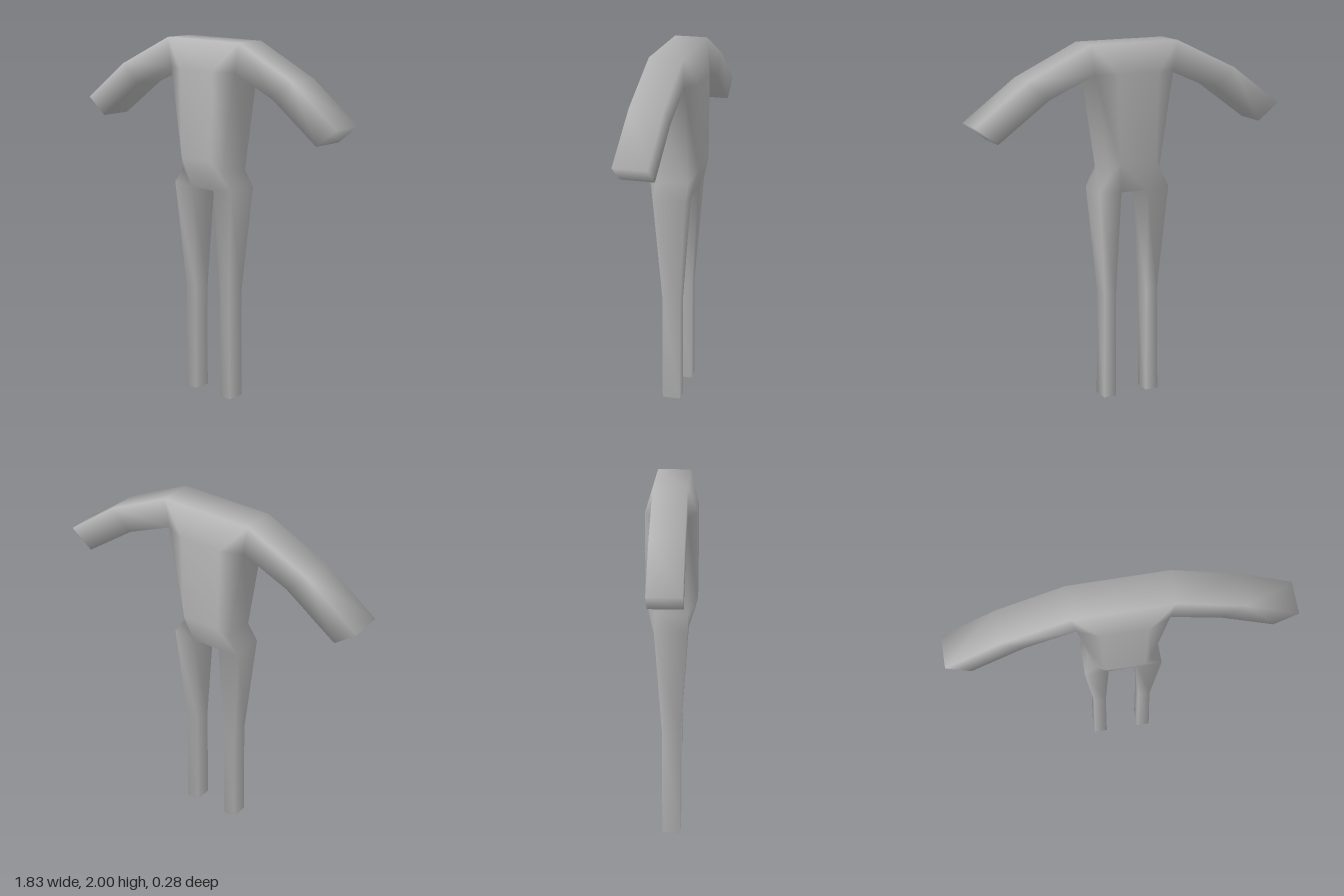
import * as THREE from 'three';

// Landmarks of one quarter of the body (x and z get mirrored)
const POINTS = {
  shoulder: [0.26, 2.0, 0.09],
  armpit: [0.235, 1.84, 0.09],
  chest: [0.12, 1.84, 0.14],
  belly: [0.11, 1.36, 0.14],
  waist: [0.15, 1.29, 0.09],
  hip: [0.21, 1.2, 0.09],
  groin: [0.08, 1.19, 0.09],
  elbowTop: [0.62, 1.83, 0.09],
  elbowLow: [0.5, 1.725, 0.09],
  handTop: [0.915, 1.612, 0.09],
  handLow: [0.79, 1.515, 0.09],
  kneeOut: [0.163, 0.6, 0.05],
  kneeIn: [0.095, 0.6, 0.05],
  footOut: [0.17, 0, 0.05],
  footIn: [0.095, 0, 0.05],
};
const NAMES = Object.keys(POINTS);

// Panels facing the front on the left half, counter-clockwise
const PANELS = {
  torso: [
    ['shoulder', 'chest', 'armpit'],
    ['chest', 'belly', 'waist', 'armpit'],
    ['belly', 'groin', 'hip', 'waist'],
  ],
  arm: [
    ['shoulder', 'armpit', 'elbowLow', 'elbowTop'],
    ['elbowTop', 'elbowLow', 'handLow', 'handTop'],
  ],
  leg: [
    ['groin', 'kneeIn', 'kneeOut', 'hip'],
    ['kneeIn', 'footIn', 'footOut', 'kneeOut'],
  ],
};

// Outline strips joining front to back, running clockwise
const OUTLINES = {
  torso: [['armpit', 'waist', 'hip']],
  arm: [['shoulder', 'elbowTop', 'handTop', 'handLow', 'elbowLow', 'armpit']],
  leg: [['hip', 'kneeOut', 'footOut', 'footIn', 'kneeIn', 'groin']],
};

const id = (name, sx, sz) => NAMES.indexOf(name) * 4 + (sx < 0 ? 1 : 0) + (sz < 0 ? 2 : 0);

function addFace(list, corners, flip) {
  const c = flip ? [...corners].reverse() : corners;
  for (let i = 1; i < c.length - 1; i++) list.push(c[0], c[i], c[i + 1]);
}

function addPart(list, part, sx) {
  for (const sz of [1, -1])
    for (const panel of PANELS[part])
      addFace(list, panel.map((n) => id(n, sx, sz)), sx * sz < 0);
  for (const line of OUTLINES[part])
    for (let i = 0; i < line.length - 1; i++) {
      const [a, b] = [line[i], line[i + 1]];
      addFace(list, [id(a, sx, 1), id(b, sx, 1), id(b, sx, -1), id(a, sx, -1)], sx < 0);
    }
}

export function createModel() {
  const group = new THREE.Group();
  group.name = 'figure';
  const grey = new THREE.MeshStandardMaterial({ color: 0xb4b4b4 });
  grey.name = 'grey';

  const parts = { torso: [], leftArm: [], rightArm: [], leftLeg: [], rightLeg: [] };
  for (const sx of [1, -1]) {
    const side = sx > 0 ? 'left' : 'right';
    addPart(parts.torso, 'torso', sx);
    addPart(parts[side + 'Arm'], 'arm', sx);
    addPart(parts[side + 'Leg'], 'leg', sx);
  }

  // Middle panels of the torso, then its top and crotch
  const middle = ['shoulder', 'chest', 'belly', 'groin'];
  for (const sz of [1, -1])
    for (let i = 0; i < 3; i++) {
      const [a, b] = [middle[i], middle[i + 1]];
      addFace(parts.torso, [id(a, -1, sz), id(b, -1, sz), id(b, 1, sz), id(a, 1, sz)], sz < 0);
    }
  for (const [name, sx] of [['shoulder', -1], ['groin', 1]])
    addFace(parts.torso, [id(name, sx, 1), id(name, -sx, 1), id(name, -sx, -1), id(name, sx, -1)]);

  // Shared vertices keep the shading smooth from part to part
  const positions = [];
  for (const name of NAMES) {
    const [x, y, z] = POINTS[name];
    for (const sz of [1, -1])
      for (const sx of [1, -1]) positions.push(x * sx, y, z * sz);
  }
  const whole = new THREE.BufferGeometry();
  whole.setAttribute('position', new THREE.Float32BufferAttribute(positions, 3));
  whole.setIndex(Object.values(parts).flat());
  whole.computeVertexNormals();

  for (const [name, index] of Object.entries(parts)) {
    const geometry = new THREE.BufferGeometry();
    geometry.setAttribute('position', whole.attributes.position.clone());
    geometry.setAttribute('normal', whole.attributes.normal.clone());
    geometry.setIndex(index);
    const mesh = new THREE.Mesh(geometry, grey);
    mesh.name = name;
    group.add(mesh);
  }
  return group;
}
